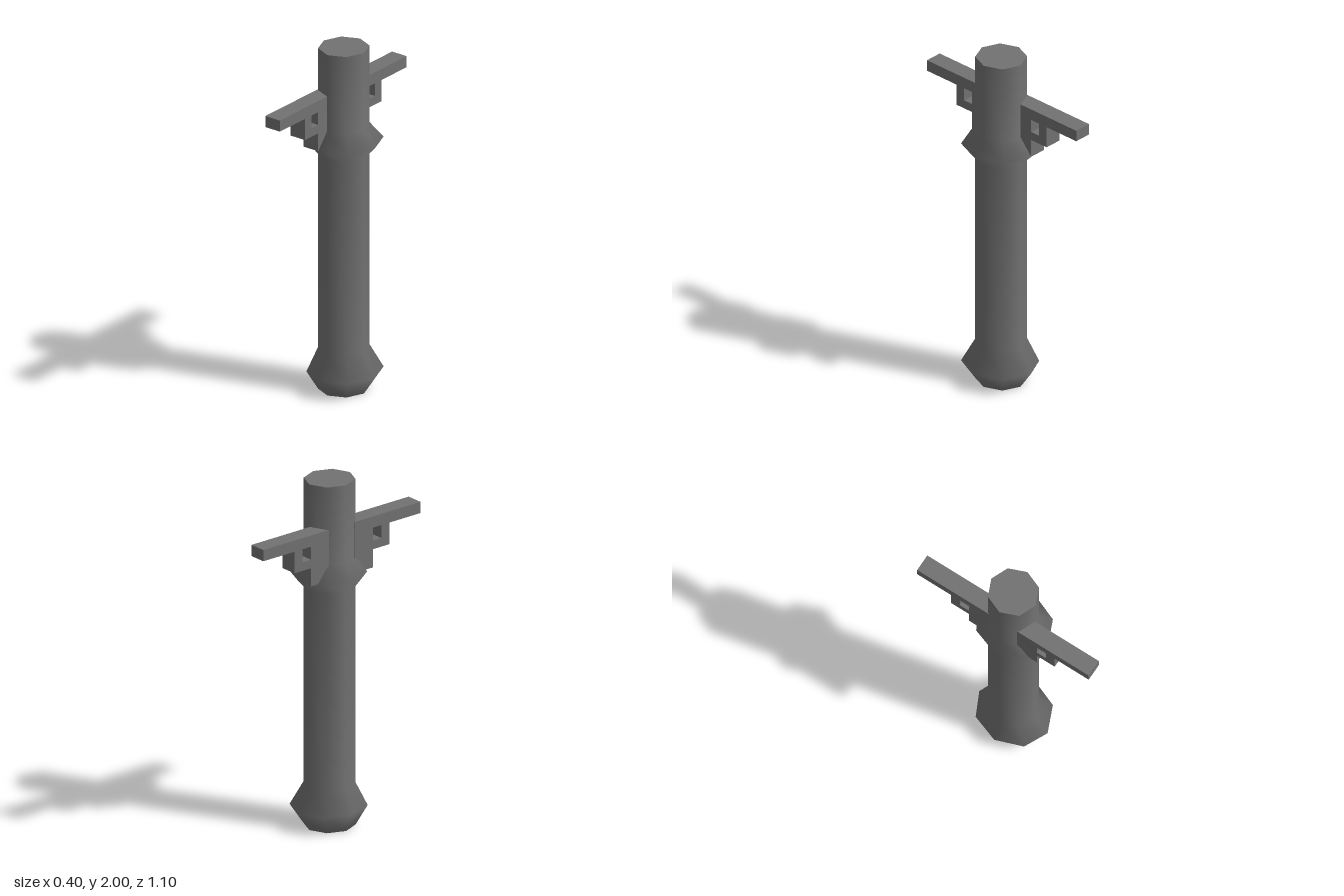
import * as THREE from 'three';

const material = new THREE.MeshStandardMaterial({ color: 0x727272 });
const AXIS_X = -0.0125;
const SHAFT_R = 0.1425;
const COLLAR_R = 0.22;

function add(parent, geometry, name) {
  const mesh = new THREE.Mesh(geometry, material);
  mesh.name = name;
  parent.add(mesh);
  return mesh;
}

// Octagonal post with two collars that bulge less on the bracket side
function postGeometry() {
  const profile = [
    [SHAFT_R, 0], [COLLAR_R, 0.11], [SHAFT_R, 0.245],
    [SHAFT_R, 1.38], [COLLAR_R, 1.46], [SHAFT_R, 1.55], [SHAFT_R, 2],
  ].map(([r, y]) => new THREE.Vector2(r, y));
  const geometry = new THREE.LatheGeometry(profile, 8);
  const p = geometry.attributes.position;
  for (let i = 0; i < p.count; i++) {
    const x = p.getX(i);
    const onCollar = Math.hypot(x, p.getZ(i)) > 0.2;
    if (onCollar && x < 0) p.setX(i, x * (p.getY(i) > 1 ? 0.86 : 0.89));
  }
  return geometry;
}

// Side outline of one arm: long beam, inner leg and hooked brace with a window
function armGeometry() {
  const outline = [
    [0.09, 1.46], [0.218, 1.46], [0.218, 1.565], [0.333, 1.565],
    [0.333, 1.69], [0.552, 1.69], [0.552, 1.755], [0.09, 1.755],
  ].map(([z, y]) => new THREE.Vector2(z, y));
  const opening = [
    [0.218, 1.615], [0.218, 1.69], [0.277, 1.69], [0.277, 1.615],
  ].map(([z, y]) => new THREE.Vector2(z, y));
  const shape = new THREE.Shape(outline);
  shape.holes.push(new THREE.Path(opening));
  const geometry = new THREE.ExtrudeGeometry(shape, { depth: 0.1, bevelEnabled: false });
  return geometry.translate(0, 0, -0.05);
}

export function createModel() {
  const model = new THREE.Group();
  model.name = 'bracketedPost';

  // Post, slightly narrower than deep, and its flat ends
  const post = new THREE.Group();
  post.name = 'post';
  post.position.x = AXIS_X;
  post.scale.x = 0.966;
  model.add(post);
  add(post, postGeometry(), 'shaft');
  const cap = new THREE.CircleGeometry(SHAFT_R, 8);
  const top = add(post, cap, 'topCap');
  top.rotation.x = -Math.PI / 2;
  top.position.y = 2;
  add(post, cap, 'bottomCap').rotation.x = Math.PI / 2;

  // Matching arms toward the front and the back
  const arm = armGeometry();
  for (const [name, side] of [['frontArm', 1], ['backArm', -1]]) {
    const mesh = add(model, arm, name);
    mesh.rotation.y = -side * Math.PI / 2;
    mesh.position.x = -0.066;
  }
  return model;
}
